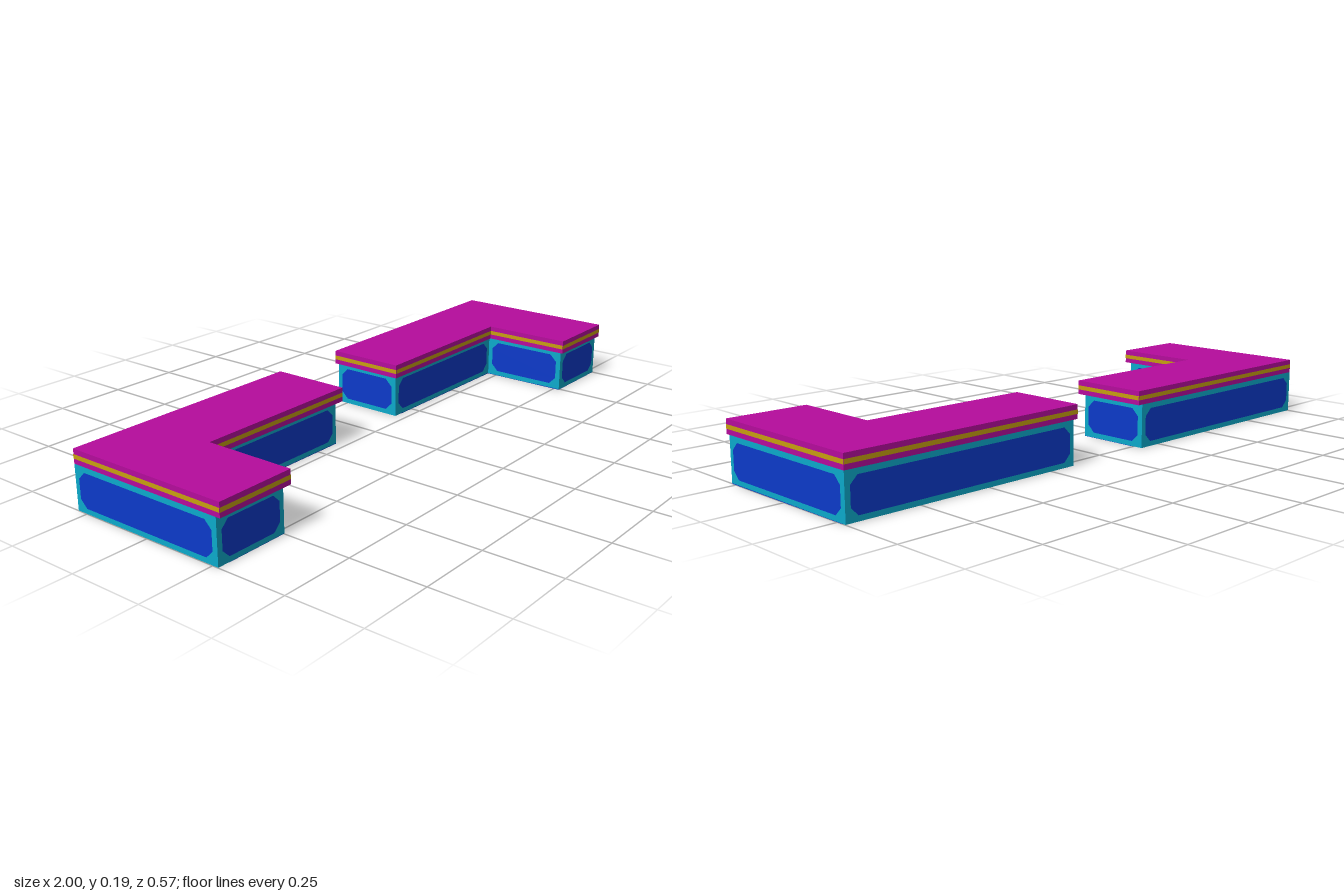
import * as THREE from 'three';

const mat = (name, color) => Object.assign(new THREE.MeshStandardMaterial({ color }), { name });

// L outline as [x, z] points, counter-clockwise seen from above.
function outline(side, end, inner, front, step) {
  const back = -0.286;
  const pts = [[end, back], [end, step], [inner, step], [inner, front], [1, front], [1, back]];
  const placed = pts.map(([x, z]) => [x * side, z]);
  return side > 0 ? placed : placed.reverse();
}

// Upright prism over an outline.
function prism(pts, y0, y1) {
  const shape = new THREE.Shape(pts.map(([x, z]) => new THREE.Vector2(x, -z)));
  return new THREE.ExtrudeGeometry(shape, { depth: y1 - y0, bevelEnabled: false })
    .rotateX(-Math.PI / 2).translate(0, y0, 0);
}

// Flat panel with cut corners, centred on the origin.
function panelGeometry(w, h, cut) {
  const x = w / 2, y = h / 2;
  const corners = cut === 0
    ? [[-x, -y], [x, -y], [x, y], [-x, y]]
    : [[-x + cut, -y], [x - cut, -y], [x, -y + cut], [x, y - cut],
      [x - cut, y], [-x + cut, y], [-x, y - cut], [-x, -y + cut]];
  return new THREE.ShapeGeometry(new THREE.Shape(corners.map(c => new THREE.Vector2(...c))));
}

// One flat panel on every wall of an outline.
function wallPanels(group, name, pts, y0, y1, margin, cut, material) {
  pts.forEach(([ax, az], i) => {
    const [bx, bz] = pts[(i + 1) % pts.length];
    const length = Math.hypot(bx - ax, bz - az);
    const nx = -(bz - az) / length, nz = (bx - ax) / length;
    const mesh = new THREE.Mesh(panelGeometry(length - 2 * margin, y1 - y0, cut), material);
    mesh.position.set((ax + bx) / 2 + nx * 0.0012, (y0 + y1) / 2, (az + bz) / 2 + nz * 0.0012);
    mesh.rotation.y = Math.atan2(nx, nz);
    mesh.name = name;
    group.add(mesh);
  });
}

export function createModel() {
  const cyan = mat('cyan frame', 0x0cabcc);
  const blue = mat('blue panel', 0x0c3acb);
  const magenta = mat('magenta top', 0xb60c9d);
  const gold = mat('gold stripe', 0xc8a010);

  const model = new THREE.Group();
  model.name = 'counters';
  const add = (group, name, geometry, material) => {
    const mesh = new THREE.Mesh(geometry, material);
    mesh.name = name;
    group.add(mesh);
  };

  for (const side of [1, -1]) {
    const counter = new THREE.Group();
    counter.name = side > 0 ? 'leftCounter' : 'rightCounter';
    const shift = side > 0 ? 0 : 0.005;

    // Cabinet with cut-corner panels
    const base = outline(side, 0.157 + shift, 0.743 + shift, 0.271, -0.035);
    add(counter, 'cabinet', prism(base, 0.001, 0.145), cyan);
    wallPanels(counter, 'wallPanel', base, 0.018, 0.128, 0.017, 0.024, blue);

    // Underside panel, framed along the back and one end
    const under = base.map(([x, z]) => {
      const ax = Math.abs(x);
      const px = side > 0 ? (ax < 0.2 ? ax + 0.03 : ax) : (ax > 0.99 ? ax - 0.04 : ax);
      return [px * side, z < -0.2 ? z + (side > 0 ? 0.015 : 0.04) : z];
    });
    add(counter, 'undersidePanel', prism(under, 0, 0.002), blue);

    // Overhanging top with a stripe around its edge
    const top = outline(side, 0.14 + shift, 0.728 + shift, 0.286, -0.02);
    add(counter, 'counterTop', prism(top, 0.145, 0.191), magenta);
    wallPanels(counter, 'edgeStripe', top, 0.161, 0.175, 0, 0, gold);

    model.add(counter);
  }
  return model;
}
